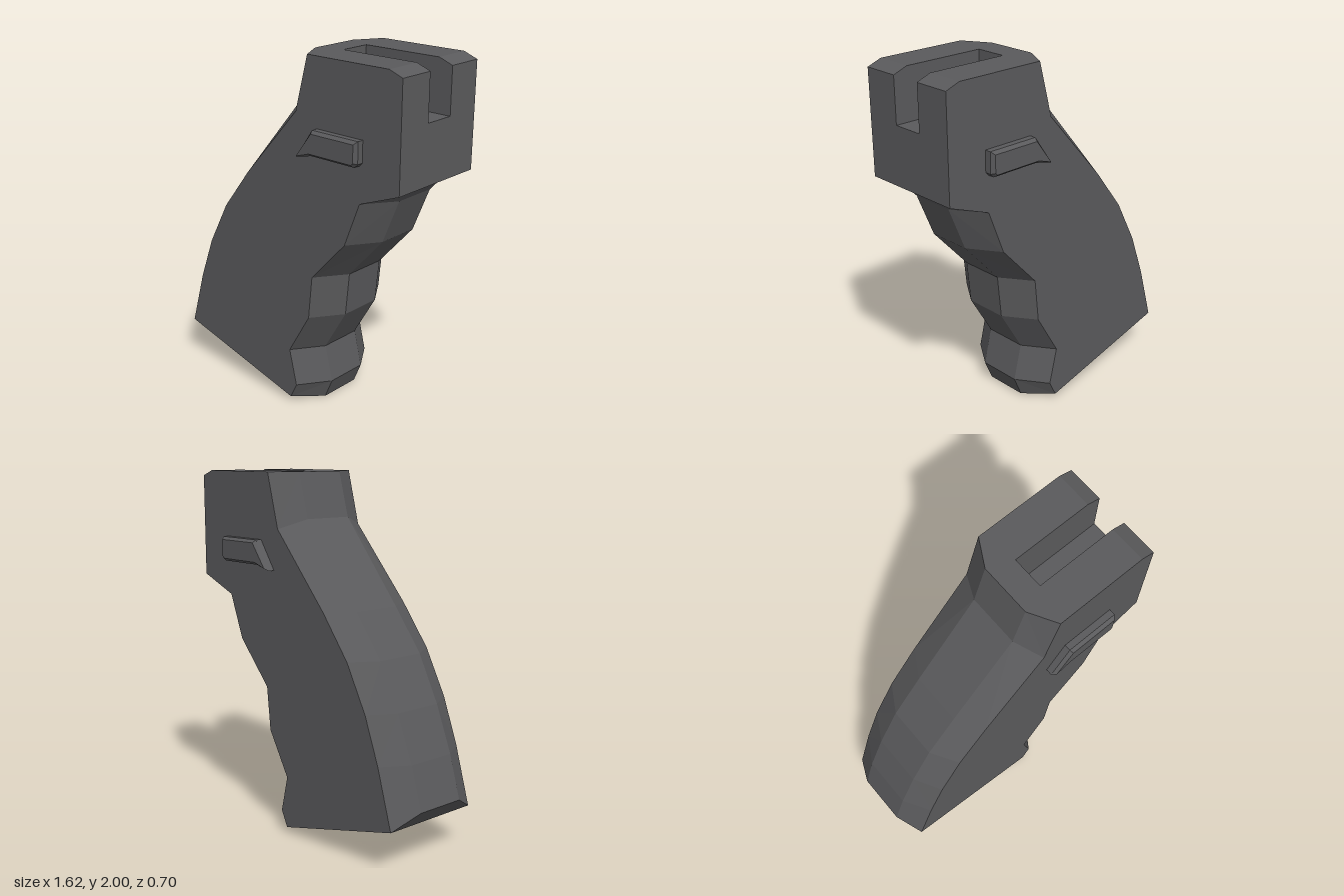
import * as THREE from 'three';

const W = 0.295;      // half width of the grip
const BACK_Z = 0.145; // half width of the flat back strip
const FRONT_Z = 0.125; // half width of the flat finger strip
const SLOT_Z = 0.088; // half width of the top slot

// Back profile, bottom to top: centre strip and outer edge
const backCentre = [[-0.81, 0.325], [-0.74, 0.56], [-0.64, 0.81], [-0.51, 1.06], [-0.33, 1.29], [0.055, 1.75], [0.125, 2]];
const backOuter = [[-0.745, 0.24], [-0.65, 0.56], [-0.555, 0.81], [-0.42, 1.06], [-0.24, 1.29], [0.13, 1.7], [0.21, 2]];
// Finger-groove profile, bottom to top
const frontCentre = [[0.185, 0.003], [0.235, 0.12], [0.185, 0.325], [0.33, 0.57], [0.355, 0.815], [0.575, 1.06], [0.675, 1.305]];
const frontOuter = [[0.075, 0.03], [0.12, 0.12], [0.07, 0.325], [0.215, 0.57], [0.24, 0.815], [0.465, 1.06], [0.56, 1.305]];

// Collects faces, each mirrored across z = 0
function mirroredFaces() {
  const pos = [];
  const tri = (a, b, c) => {
    pos.push(...a, ...b, ...c);
    for (const p of [c, b, a]) pos.push(p[0], p[1], -p[2]);
  };
  return {
    tri,
    face(...p) { for (let i = 1; i < p.length - 1; i++) tri(p[0], p[i], p[i + 1]); },
    build() {
      const g = new THREE.BufferGeometry();
      g.setAttribute('position', new THREE.Float32BufferAttribute(pos, 3));
      g.computeVertexNormals();
      return g;
    },
  };
}

const at = ([x, y], z) => [x, y, z];

function gripGeometry() {
  const { tri, face, build } = mirroredFaces();

  // Flat sides
  const side = [backOuter[0], ...frontOuter, [0.805, 1.4], [0.805, 1.97], [0.725, 2], ...backOuter.slice(1).reverse()];
  const outline = side.map(([x, y]) => new THREE.Vector2(x, y));
  for (const [a, b, c] of THREE.ShapeUtils.triangulateShape(outline, [])) {
    tri(at(side[a], W), at(side[b], W), at(side[c], W));
  }

  // Chamfered back and finger grooves
  for (let i = 0; i < 6; i++) {
    const [b0, b1, e0, e1] = [backCentre[i], backCentre[i + 1], backOuter[i], backOuter[i + 1]];
    face(at(e0, W), at(e1, W), at(b1, BACK_Z), at(b0, BACK_Z));
    face(at(b0, BACK_Z), at(b1, BACK_Z), at(b1, 0), at(b0, 0));
    const [f0, f1, o0, o1] = [frontCentre[i], frontCentre[i + 1], frontOuter[i], frontOuter[i + 1]];
    face(at(o0, W), at(f0, FRONT_Z), at(f1, FRONT_Z), at(o1, W));
    face(at(f0, FRONT_Z), at(f0, 0), at(f1, 0), at(f1, FRONT_Z));
  }

  // Lip under the head
  const lip = [0.72, 1.365], tip = [0.805, 1.4], fc = frontCentre[6], fo = frontOuter[6];
  face(at(fo, W), at(fc, FRONT_Z), at(lip, 0.16));
  face(at(fc, FRONT_Z), at(fc, 0), at(lip, 0), at(lip, 0.16));
  face(at(fo, W), at(lip, 0.16), at(tip, W));
  face(at(lip, 0.16), at(lip, 0), at(tip, 0), at(tip, W));

  // Sloped base
  const heel = backOuter[0];
  face(at(heel, 0), at(frontCentre[0], 0), at(frontCentre[0], FRONT_Z), at(frontOuter[0], W), at(heel, W));
  face(at(heel, 0), at(heel, W), at(backCentre[0], BACK_Z), at(backCentre[0], 0));

  // Top, front chamfer and front face around the slot
  const S = SLOT_Z, X = 0.805, C = 0.725, E = 0.265;
  face([0.125, 2, 0], [0.125, 2, BACK_Z], [0.21, 2, W], [E, 2, W], [E, 2, 0]);
  face([E, 2, S], [E, 2, W], [C, 2, W], [C, 2, S]);
  face([C, 2, S], [C, 2, W], [X, 1.97, W], [X, 1.97, S]);
  face([X, 1.4, W], [X, 1.4, 0], [X, 1.72, 0], [X, 1.72, W]);
  face([X, 1.72, W], [X, 1.72, S], [X, 1.97, S], [X, 1.97, W]);

  // Slot floor, undercut end and walls
  const D = 0.16;
  face([D, 1.72, 0], [D, 1.72, S], [X, 1.72, S], [X, 1.72, 0]);
  face([D, 1.72, S], [D, 1.72, 0], [E, 1.9, 0], [E, 1.9, S]);
  face([E, 1.9, S], [E, 1.9, 0], [E, 2, 0], [E, 2, S]);
  face([X, 1.72, S], [D, 1.72, S], [E, 1.9, S], [E, 2, S], [C, 2, S], [X, 1.97, S]);
  return build();
}

// Bevelled raised tab
function tabGeometry() {
  const pts = [[0.165, 1.475], [0.27, 1.5], [0.555, 1.5], [0.575, 1.52], [0.575, 1.635], [0.275, 1.635]];
  const shape = new THREE.Shape(pts.map(([x, y]) => new THREE.Vector2(x, y)));
  return new THREE.ExtrudeGeometry(shape, {
    depth: 0.05, bevelEnabled: true, bevelThickness: 0.02, bevelSize: 0.015, bevelOffset: -0.015, bevelSegments: 1,
  });
}

export function createModel() {
  const group = new THREE.Group();
  group.name = 'pistolGrip';
  const darkGrey = new THREE.MeshStandardMaterial({ color: 0x5a5a5c, flatShading: true });
  darkGrey.name = 'darkGrey';

  const grip = new THREE.Mesh(gripGeometry(), darkGrey);
  grip.name = 'gripBody';
  group.add(grip);

  const tab = tabGeometry();
  for (const [name, z] of [['frontTab', 0.28], ['backTab', -0.33]]) {
    const mesh = new THREE.Mesh(tab, darkGrey);
    mesh.name = name;
    mesh.position.z = z;
    group.add(mesh);
  }
  return group;
}
